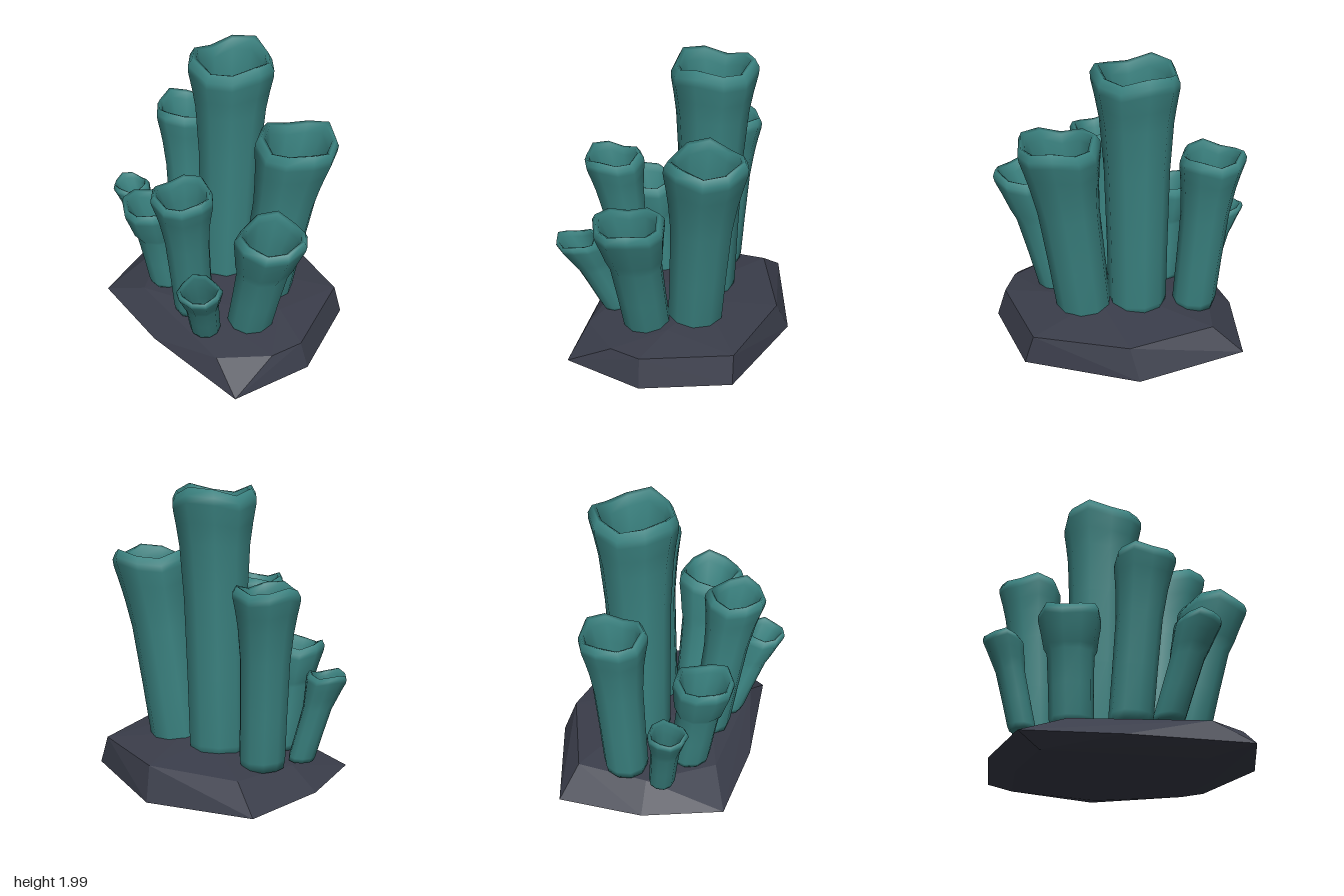
import * as THREE from 'three';
import { ConvexGeometry } from 'three/addons/geometries/ConvexGeometry.js';

const SIDES = 10;
const BASE_Y = 0.23;

// Hollow flared tube: rings run up the outside, over the lip and down the inside.
function tubeGeometry({ base, top, height, r0, r1, phase }) {
  const span = height - BASE_Y;
  const lip = r1 / span; // one rim radius, as a fraction of the tube length
  const ph = THREE.MathUtils.degToRad(phase);
  // [fraction of length, radius, amount of three-lobed waviness]
  const rings = [
    [0, 0, 0],
    [0, r0 * 0.93, 0.1],
    [0.05, r0, 0.1],
    [0.3, r0 * 1.02, 0.1],
    [0.6, r0 * 1.07, 0.2],
    [1 - 1.3 * lip, r0 * 0.55 + r1 * 0.45, 0.4],
    [1 - 0.8 * lip, r0 * 0.3 + r1 * 0.7, 0.7],
    [1 - 0.36 * lip, r1 * 0.99, 1],
    [1 - 0.2 * lip, r1 * 0.99, 1],
    [1 - 0.02 * lip, r1 * 0.89, 1],
    [1 - 0.06 * lip, r1 * 0.8, 1],
    [1 - 0.3 * lip, r1 * 0.75, 1],
    [1 - 0.9 * lip, r0 * 0.88, 0.6],
    [0.55, r0 * 0.78, 0.2],
    [0.05, r0 * 0.66, 0.1],
    [0.04, 0, 0],
  ];
  const pos = [], index = [];
  rings.forEach(([t, r, wave], j) => {
    const cx = THREE.MathUtils.lerp(base[0], top[0], t);
    const cz = THREE.MathUtils.lerp(base[1], top[1], t);
    for (let i = 0; i < SIDES; i++) {
      const a = ph + (i / SIDES) * Math.PI * 2;
      const lobe = Math.cos(3 * (a - ph)) * wave;
      const rr = r * (1 + 0.045 * lobe);
      pos.push(cx + Math.cos(a) * rr, BASE_Y + span * t + 0.11 * r1 * (lobe - wave), cz + Math.sin(a) * rr);
      if (j === rings.length - 1) continue;
      const k = (i + 1) % SIDES;
      const p = j * SIDES + i, q = j * SIDES + k;
      index.push(p, p + SIDES, q, q, p + SIDES, q + SIDES);
    }
  });
  const g = new THREE.BufferGeometry();
  g.setAttribute('position', new THREE.Float32BufferAttribute(pos, 3));
  g.setIndex(index);
  g.computeVertexNormals();
  return g;
}

// Faceted slab: underside, widest edge and raised top
function rockGeometry() {
  const points = [
    // underside
    [-0.7, 0, -0.32], [-0.16, 0, -0.55], [0.42, 0, -0.46], [0.6, 0, -0.05],
    [0.52, 0, 0.4], [-0.45, 0, 0.57], [-0.63, 0, 0.15],
    // widest edge
    [-0.87, 0.07, -0.41], [-0.19, 0.03, -0.72], [0.58, 0.06, -0.6], [0.86, 0.06, -0.06],
    [0.8, 0.06, 0.5], [0.04, 0.07, 0.64], [-0.57, 0.09, 0.655], [-0.8, 0.08, 0.16],
    // top
    [-0.66, 0.23, -0.36], [-0.12, 0.24, -0.65], [0.52, 0.25, -0.58], [0.8, 0.25, -0.04],
    [0.77, 0.24, 0.18], [0.55, 0.21, 0.47], [-0.3, 0.215, 0.5], [-0.62, 0.22, 0.12],
    [-0.08, 0.31, -0.12], [0.12, 0.31, -0.2], [0.5, 0.29, -0.1], [0.05, 0.265, 0.34],
  ];
  return new ConvexGeometry(points.map((p) => new THREE.Vector3(...p)));
}

export function createModel() {
  const teal = new THREE.MeshStandardMaterial({ color: 0x3a8280 });
  teal.name = 'teal';
  const slate = new THREE.MeshStandardMaterial({ color: 0x3a3d4a });
  slate.name = 'slate';
  slate.flatShading = true;

  const group = new THREE.Group();
  group.name = 'tubeCluster';
  const add = (name, geometry, material) => {
    const mesh = new THREE.Mesh(geometry, material);
    mesh.name = name;
    group.add(mesh);
  };

  add('rockBase', rockGeometry(), slate);

  // base and top are [x, z] centres; r0 is the stem radius, r1 the rim radius
  const tubes = {
    tallTube: { base: [-0.14, -0.11], top: [-0.125, -0.145], height: 2.0, r0: 0.2, r1: 0.28, phase: 0 },
    backLeftTube: { base: [0.22, -0.18], top: [0.36, -0.31], height: 1.575, r0: 0.19, r1: 0.265, phase: -90 },
    leftTube: { base: [0.41, 0.09], top: [0.635, 0.1], height: 1.175, r0: 0.16, r1: 0.23, phase: -25 },
    rightTube: { base: [-0.53, -0.06], top: [-0.61, -0.1], height: 1.42, r0: 0.15, r1: 0.215, phase: 180 },
    frontTube: { base: [0.07, 0.32], top: [0.165, 0.445], height: 1.355, r0: 0.138, r1: 0.2, phase: 0 },
    frontRightTube: { base: [-0.285, 0.3], top: [-0.305, 0.405], height: 0.97, r0: 0.138, r1: 0.2, phase: 30 },
    smallRightTube: { base: [-0.59, 0.22], top: [-0.73, 0.315], height: 0.835, r0: 0.087, r1: 0.13, phase: 75 },
    smallLeftTube: { base: [0.295, 0.38], top: [0.495, 0.56], height: 0.85, r0: 0.103, r1: 0.147, phase: 90 },
  };
  for (const [name, spec] of Object.entries(tubes)) add(name, tubeGeometry(spec), teal);

  return group;
}
